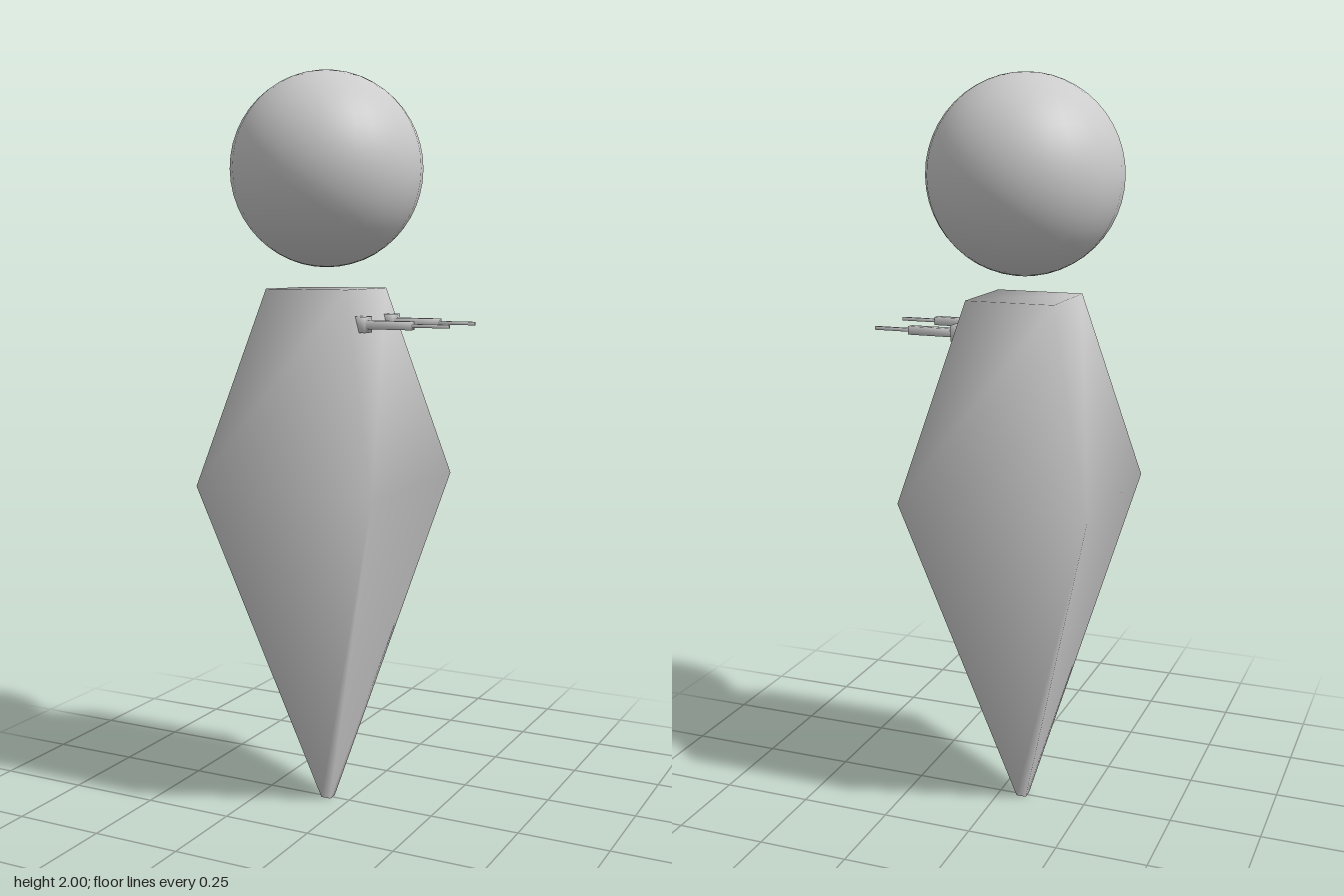
import * as THREE from 'three';
import { mergeVertices } from 'three/addons/utils/BufferGeometryUtils.js';

const material = new THREE.MeshStandardMaterial({ color: 0xcccccc });

// Square loft along +y through [height, halfWidth] sections, with shared corners for smooth normals
function squareLoft(sections) {
  const n = sections.length - 1;
  const box = new THREE.BoxGeometry(2, n, 2, 1, n, 1);
  const p = box.attributes.position;
  for (let i = 0; i < p.count; i++) {
    const [h, w] = sections[Math.round(p.getY(i) + n / 2)];
    p.setXYZ(i, Math.sign(p.getX(i)) * w, h, Math.sign(p.getZ(i)) * w);
  }
  box.deleteAttribute('normal');
  box.deleteAttribute('uv');
  const geometry = mergeVertices(box);
  geometry.computeVertexNormals();
  return geometry;
}

function addMesh(parent, name, geometry, x, y, z) {
  const mesh = new THREE.Mesh(geometry, material);
  mesh.name = name;
  mesh.position.set(x, y, z);
  parent.add(mesh);
  return mesh;
}

export function createModel() {
  const model = new THREE.Group();
  model.name = 'floatingHeadFigure';
  const cx = -0.067;

  // Tapered square body
  addMesh(model, 'body', squareLoft([[0, 0.014], [0.91, 0.258], [1.43, 0.12]]), cx, 0, 0);

  // Floating round head
  addMesh(model, 'head', new THREE.SphereGeometry(0.257, 32, 24), cx, 1.743, 0);

  // Pair of stepped barrels: mount, thick tube, thin rod
  const barrel = squareLoft([
    [0.06, 0.021], [0.1, 0.021], [0.1, 0.011], [0.225, 0.011], [0.225, 0.0045], [0.325, 0.0045],
  ]);
  barrel.rotateZ(-Math.PI / 2);
  for (const side of [-1, 1]) {
    addMesh(model, side > 0 ? 'frontBarrel' : 'backBarrel', barrel, 0, 1.34, side * 0.088);
  }
  return model;
}
